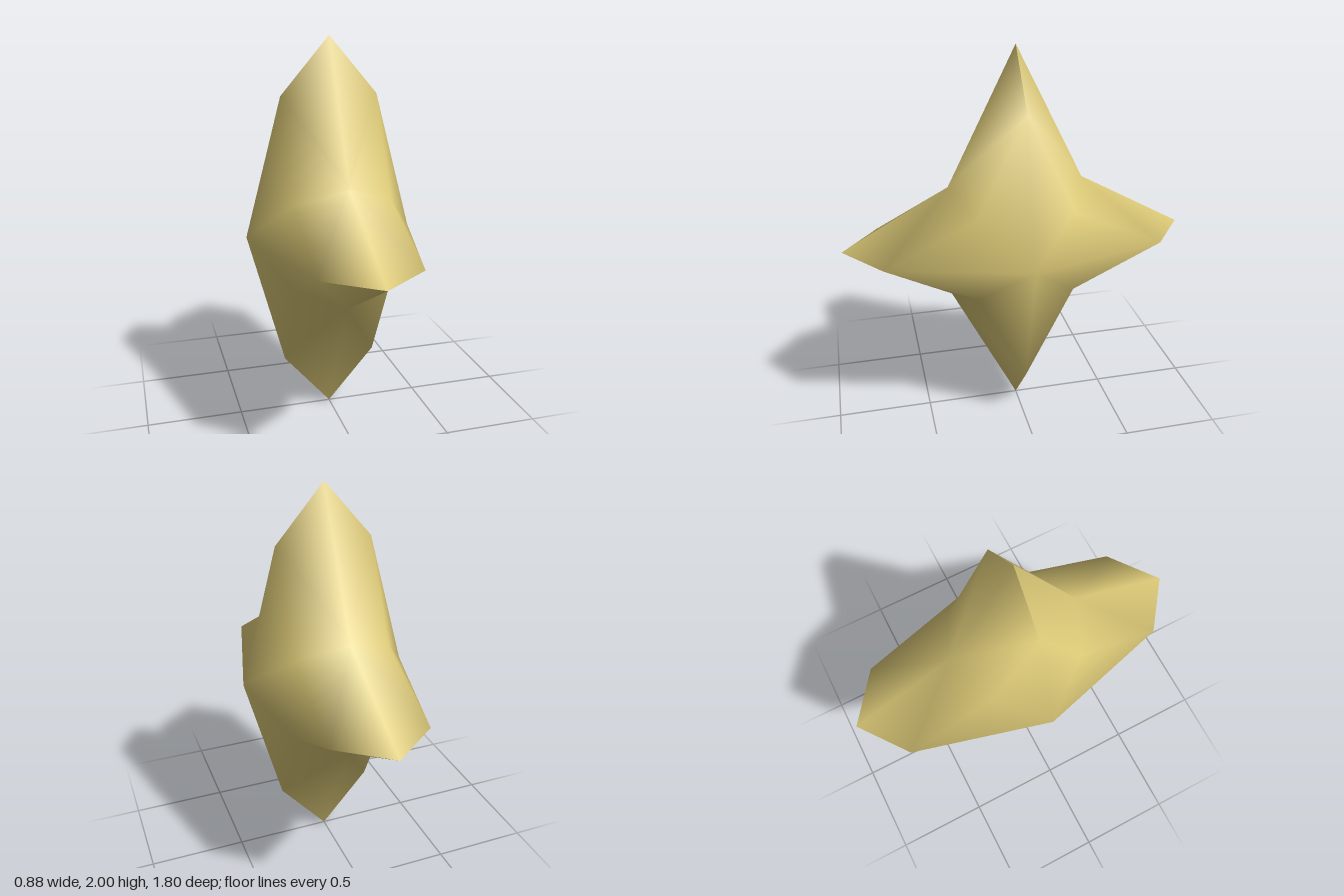
import * as THREE from 'three';

// Four-pointed star lying in the YZ plane, swelling to a point on each side (x)
const HALF_WIDTH = 0.44;
const OUTER = { x: 0, tipY: 1, tipZ: 0.9, notchY: 0.305, notchZ: 0.35 };
const INNER = { x: 0.25, tipY: 0.71, tipZ: 0.71, notchY: 0.216, notchZ: 0.247 };

// Point k (0..7) of a star ring: even = tip, odd = notch
function ringPoint(ring, k, side) {
  const a = (k * Math.PI) / 4;
  const tip = k % 2 === 0;
  const y = tip ? Math.round(Math.sin(a)) * ring.tipY : Math.sign(Math.sin(a)) * ring.notchY;
  const z = tip ? Math.round(Math.cos(a)) * ring.tipZ : Math.sign(Math.cos(a)) * ring.notchZ;
  return [side * ring.x, 1 + y, z];
}

function starGeometry() {
  const positions = [];
  const index = [];
  const add = (p) => positions.push(...p) / 3 - 1;

  // Outer ring: tips are doubled so the blade edges stay sharp there
  const outerStart = [];
  const outerEnd = [];
  for (let k = 0; k < 8; k++) {
    outerStart[k] = add(ringPoint(OUTER, k, 1));
    outerEnd[k] = k % 2 === 0 ? add(ringPoint(OUTER, k, 1)) : outerStart[k];
  }

  for (const side of [1, -1]) {
    const tri = (a, b, c) => (side > 0 ? index.push(a, b, c) : index.push(a, c, b));
    const pole = add([side * HALF_WIDTH, 1, 0]);
    const inner = [];
    for (let k = 0; k < 8; k++) inner[k] = add(ringPoint(INNER, k, side));

    for (let k = 0; k < 8; k++) {
      const n = (k + 1) % 8;
      const o0 = outerStart[k];
      const o1 = outerEnd[n];
      tri(pole, inner[n], inner[k]);
      // Split each band quad from the inner tip to the outer notch
      if (k % 2 === 0) {
        tri(inner[k], inner[n], o1);
        tri(inner[k], o1, o0);
      } else {
        tri(inner[k], inner[n], o0);
        tri(inner[n], o1, o0);
      }
    }
  }

  const geometry = new THREE.BufferGeometry();
  geometry.setAttribute('position', new THREE.Float32BufferAttribute(positions, 3));
  geometry.setIndex(index);
  geometry.computeVertexNormals();
  return geometry;
}

export function createModel() {
  const gold = new THREE.MeshStandardMaterial({ color: 0xdecb78 });
  gold.name = 'pale gold';

  const star = new THREE.Mesh(starGeometry(), gold);
  star.name = 'star';

  const group = new THREE.Group();
  group.name = 'fourPointedStar';
  group.add(star);
  return group;
}
